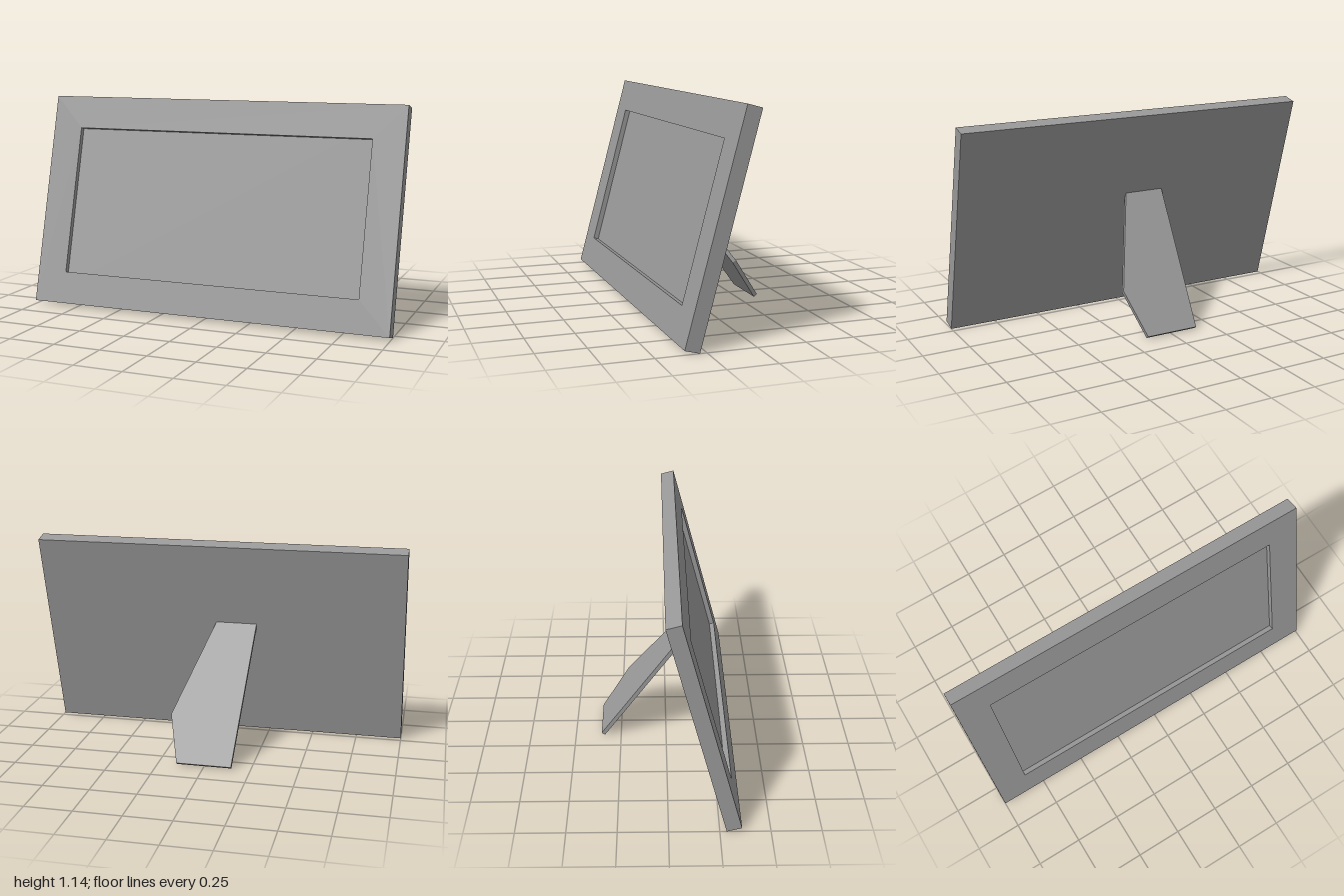
import * as THREE from 'three';

const material = new THREE.MeshStandardMaterial({ color: 0x999999, flatShading: true });

const WIDTH = 2, HEIGHT = 1.155, DEPTH = 0.077; // outer size of the frame
const SIDE = 0.17, BOTTOM = 0.172, TOP = 0.177; // rim widths
const RECESS = 0.028;                           // how far the panel is set back

function rectangle(PathType, x0, y0, x1, y1) {
  return new PathType([[x0, y0], [x1, y0], [x1, y1], [x0, y1]].map(([x, y]) => new THREE.Vector2(x, y)));
}

function addMesh(parent, name, geometry) {
  const mesh = new THREE.Mesh(geometry, material);
  mesh.name = name;
  parent.add(mesh);
  return mesh;
}

export function createModel() {
  const model = new THREE.Group();
  model.name = 'pictureFrame';

  // Frame leaning back 15 degrees, pivoting on its lower back edge
  const frame = new THREE.Group();
  frame.name = 'frame';
  frame.position.z = 0.284;
  frame.rotation.x = -THREE.MathUtils.degToRad(15);
  model.add(frame);

  // Back panel, whose front shows inside the rim
  const panelDepth = DEPTH - RECESS;
  addMesh(frame, 'backPanel', new THREE.BoxGeometry(WIDTH, HEIGHT, panelDepth))
    .position.set(0, HEIGHT / 2, panelDepth / 2);

  // Raised rim around the opening
  const half = WIDTH / 2;
  const rim = rectangle(THREE.Shape, -half, 0, half, HEIGHT);
  rim.holes.push(rectangle(THREE.Path, -half + SIDE, BOTTOM, half - SIDE, HEIGHT - TOP));
  addMesh(frame, 'rim', new THREE.ExtrudeGeometry(rim, { depth: RECESS, bevelEnabled: false }))
    .position.z = panelDepth;

  // Easel leg: a thin lopsided board, from its foot up to the back of the frame
  const outline = [[-0.148, 0], [0.147, 0], [0.211, 0.264], [0.027, 0.808], [-0.196, 0.808]];
  const legShape = new THREE.Shape(outline.map(([x, y]) => new THREE.Vector2(x, y)));
  const leg = addMesh(model, 'easelLeg',
    new THREE.ExtrudeGeometry(legShape, { depth: 0.022, bevelEnabled: false }));
  leg.position.set(0, 0.014, -0.358);
  leg.rotation.x = THREE.MathUtils.degToRad(35);

  return model;
}
